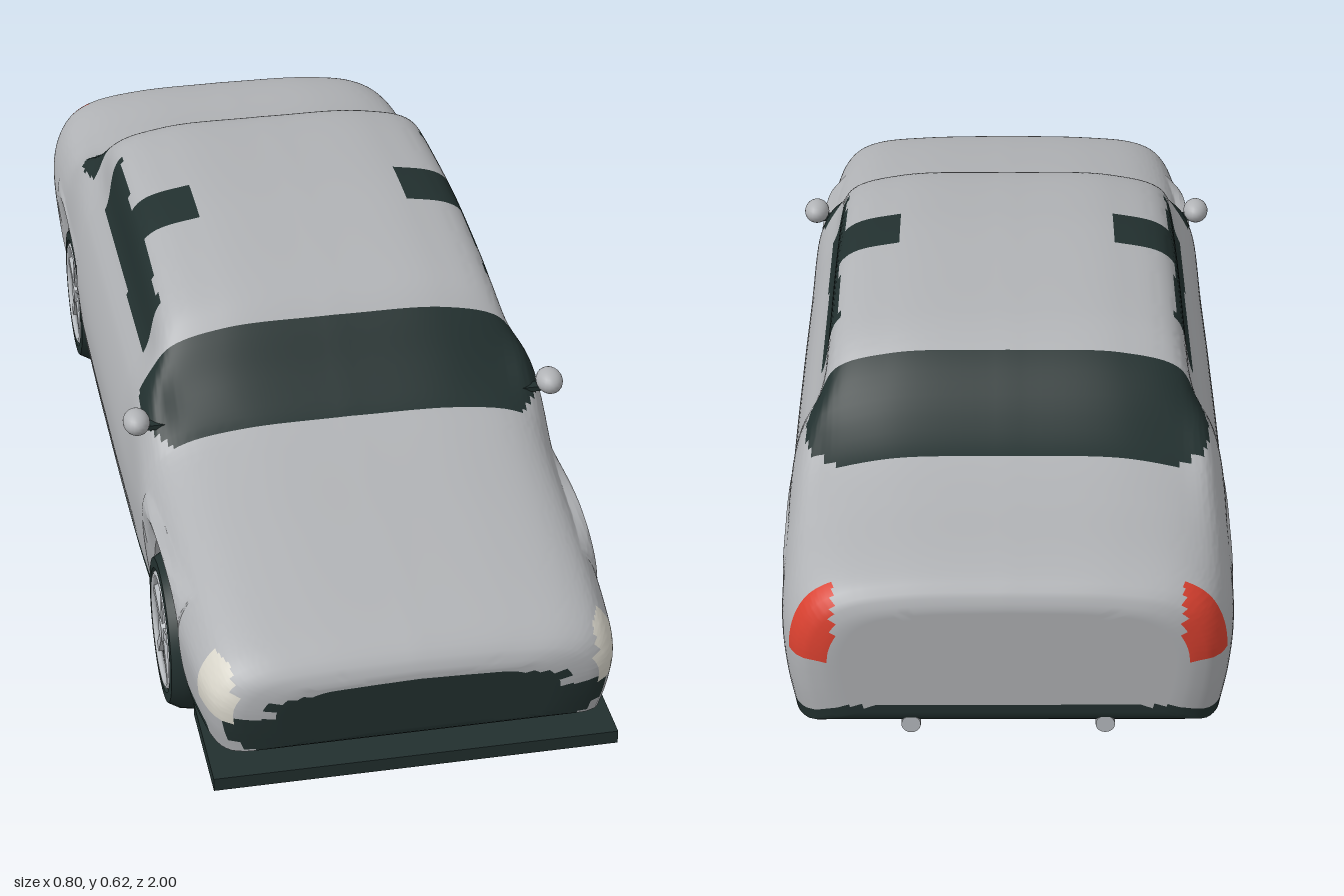
import * as THREE from 'three';
import { toCreasedNormals } from 'three/addons/utils/BufferGeometryUtils.js';

const WHEEL_Z = 0.6, WHEEL_Y = 0.143, ARCH_R = 0.166;
const SIDE = 72, FLOOR = 6;

// Stations along the car: z, roof line, half width, underside height
const STATIONS = [
  [-1, 0.375, 0.295, 0.168], [-0.99, 0.398, 0.33, 0.155], [-0.96, 0.417, 0.355, 0.143],
  [-0.9, 0.43, 0.372, 0.128], [-0.76, 0.44, 0.38, 0.11], [-0.65, 0.46, 0.381, 0.102],
  [-0.57, 0.503, 0.382, 0.1], [-0.5, 0.56, 0.382, 0.098], [-0.45, 0.59, 0.382, 0.096],
  [-0.4, 0.605, 0.383, 0.095], [-0.25, 0.617, 0.384, 0.095], [-0.1, 0.622, 0.384, 0.095],
  [0, 0.618, 0.384, 0.095], [0.15, 0.603, 0.383, 0.095], [0.23, 0.583, 0.382, 0.095],
  [0.28, 0.55, 0.381, 0.095], [0.35, 0.482, 0.379, 0.096], [0.42, 0.43, 0.377, 0.1],
  [0.5, 0.409, 0.375, 0.105], [0.7, 0.386, 0.368, 0.116], [0.85, 0.363, 0.358, 0.132],
  [0.94, 0.34, 0.345, 0.148], [0.98, 0.318, 0.322, 0.158], [0.993, 0.303, 0.29, 0.165],
  [1, 0.287, 0.24, 0.172],
];

// Smooth interpolation of one station column
function along(z, k) {
  const S = STATIONS, n = S.length - 1;
  let i = 0;
  while (i < n - 1 && z > S[i + 1][0]) i++;
  const slope = (j) => {
    const a = S[Math.max(j - 1, 0)], b = S[Math.min(j + 1, n)];
    return (b[k] - a[k]) / (b[0] - a[0]);
  };
  const h = S[i + 1][0] - S[i][0], t = (z - S[i][0]) / h, t2 = t * t, t3 = t2 * t;
  return (2 * t3 - 3 * t2 + 1) * S[i][k] + (t3 - 2 * t2 + t) * h * slope(i)
    + (3 * t2 - 2 * t3) * S[i + 1][k] + (t3 - t2) * h * slope(i + 1);
}

const archOffset = (z) => Math.abs(Math.abs(z) - WHEEL_Z);

// Closed cross-section from the middle of the floor, up the left side and back
function section(z) {
  const top = along(z, 1), w = along(z, 2), base = along(z, 3);
  const cabin = THREE.MathUtils.clamp((top - 0.43) / 0.17, 0, 1);
  const s = Math.min((top - base) / 0.3, 1);
  const mix = (a, b) => a + (b - a) * cabin;
  const y4 = Math.min(top - 0.13 * s, 0.29);
  const curve = new THREE.CatmullRomCurve3([
    [w - 0.018, base], [w - 0.004, (y4 + base) / 2], [w, y4],
    [mix(0.965 * w, 0.362), mix(top - 0.085 * s, 0.395)],
    [mix(0.9 * w, 0.327), mix(top - 0.048 * s, 0.47)],
    [mix(0.78 * w, 0.297), top - mix(0.022 * s, 0.038)],
    [mix(0.5 * w, 0.2), top - mix(0.004, 0.006)], [0, top],
  ].map(([x, y]) => new THREE.Vector3(x, y, 0)), false, 'centripetal');
  // The lower flank is squeezed upward around each wheel arch
  const d = archOffset(z), inArch = d < ARCH_R - 1e-4;
  const bottom = inArch ? WHEEL_Y + Math.sqrt(ARCH_R ** 2 - d * d) : base;
  const half = [];
  for (let i = 0; i <= SIDE; i++) {
    const p = curve.getPoint(i / SIDE);
    if (inArch && p.y < 0.33) p.y = 0.33 - (0.33 - p.y) * (0.33 - bottom) / (0.33 - base);
    half.push([p.x, p.y]);
  }
  const [ex, ey] = half[0], floor = [];
  const inner = Math.min(0.27, ex * 0.9);
  for (let i = 0; i < FLOOR; i++) floor.push([i < FLOOR - 1 ? inner * i / (FLOOR - 2) : (inner + ex) / 2, ey]);
  const left = [...floor, ...half];
  const right = left.slice(0, -1).reverse().map(([x, y]) => [-x, y]);
  return [...left, ...right];
}

// Paint index for a panel: 0 body, 1 dark, 2 red, 3 headlamp
function paint(x, y, z, isFloor) {
  x = Math.abs(x);
  if (isFloor) return archOffset(z) < ARCH_R && x > 0.27 ? 0 : 1;
  if (z > 0.9) {
    if (x > 0.305 && y > 0.222 && y < 0.312) return 3;
    const wedge = x > 0.215 && y > 0.137 + (0.24 - x) * 0.1 && y < 0.162 + Math.max(0, x - 0.27) * 0.5;
    if (wedge) return 0;
    if (y < 0.23 ? x < 0.317 : x < 0.25 && y < 0.28 - 0.35 * x * x) return 1;
  }
  if (z < -0.95 && x > 0.285 && y > 0.275 && y < 0.395) return 2;
  if (y < along(z, 3) + (z < -0.9 ? 0.02 : 0.026)) return 1;
  if (z > 0.275 && z < 0.42 && y > 0.4 + (0.42 - z) * 0.25) return 1;
  if (z > -0.65 && z < -0.48 && y > 0.437 + (z + 0.65) * 0.17) return 1;
  const sill = 0.452 + (0.18 - z) * 0.024, head = Math.min(0.555 + (0.18 - z) * 0.12, 0.574);
  if (z > -0.36 && z < 0.18 && x > 0.25 && y > sill && y < head) return 1;
  if (z > -0.145 && z < -0.02 && x > 0.2 && y > 0.55) return 1;
  return 0;
}

function bodyGeometry() {
  // Rows follow glass edges and wheel arches exactly
  const zs = new Set([-0.65, -0.48, -0.36, -0.145, -0.02, 0.18, 0.275, 0.42, -0.997, -0.993, 0.997, 0.993]);
  for (let i = 0; i <= 160; i++) {
    const z = -1 + i / 80;
    if (archOffset(z) > ARCH_R + 0.002) zs.add(z);
  }
  for (const c of [-WHEEL_Z, WHEEL_Z]) {
    zs.add(c - ARCH_R - 0.0005).add(c + ARCH_R + 0.0005);
    for (let i = 0; i <= 28; i++) zs.add(c - 0.9995 * ARCH_R * Math.cos(Math.PI * i / 28));
  }
  const rows = [...zs].sort((a, b) => a - b).map((z) => section(z).map(([x, y]) => [x, y, z]));
  // Closed nose and tail
  const cap = (row) => Array.from({ length: 14 }, (_, i) => {
    const mid = (along(row[0][2], 1) + along(row[0][2], 3)) / 2, k = i / 14;
    return row.map(([x, y, z]) => [x * k, mid + (y - mid) * k, z]);
  });
  const all = [...cap(rows[0]), ...rows, ...cap(rows[rows.length - 1]).reverse()];
  const n = rows[0].length, lists = [[], [], [], []];
  for (let i = 0; i < all.length - 1; i++) {
    const isCap = i < 14 || i >= all.length - 15;
    for (let j = 0; j < n - 1; j++) {
      const a = i * n + j, b = a + 1, c = b + n, d = a + n;
      const q = [all[i][j], all[i][j + 1], all[i + 1][j + 1], all[i + 1][j]];
      const [x, y, z] = [0, 1, 2].map((k) => (q[0][k] + q[1][k] + q[2][k] + q[3][k]) / 4);
      const isFloor = !isCap && (j < FLOOR || j >= n - 1 - FLOOR);
      lists[paint(x, y, z, isFloor)].push(a, b, c, a, c, d);
    }
  }
  const g = new THREE.BufferGeometry();
  g.setAttribute('position', new THREE.Float32BufferAttribute(all.flat(2), 3));
  g.setIndex(lists.flat());
  let start = 0;
  lists.forEach((l, m) => { g.addGroup(start, l.length, m); start += l.length; });
  return toCreasedNormals(g, 0.75);
}

export function createModel() {
  const mat = (name, color) => Object.assign(new THREE.MeshStandardMaterial({ color }), { name });
  const paintGrey = mat('body grey', 0xb0b2b5), dark = mat('dark glass and trim', 0x22302f);
  const red = mat('tail lamp red', 0xd8402f), cream = mat('headlamp cream', 0xd6d3c8);
  const silver = mat('wheel silver', 0xb9bdc1);
  const car = new THREE.Group();
  car.name = 'car';
  const add = (parent, name, geo, material, x = 0, y = 0, z = 0) => {
    const m = new THREE.Mesh(geo, material);
    m.name = name;
    m.position.set(x, y, z);
    parent.add(m);
    return m;
  };

  add(car, 'body', bodyGeometry(), [paintGrey, dark, red, cream]);
  add(car, 'frontSplitter', new THREE.BoxGeometry(0.69, 0.024, 0.21), dark, 0, 0.109, 0.895);

  // Wheels, built with the axle along x and the outer face on +x
  const tyre = toCreasedNormals(new THREE.LatheGeometry([
    [0, -0.035], [0.1, -0.04], [0.11, -0.047], [0.128, -0.046], [0.139, -0.026], [0.143, 0],
    [0.139, 0.026], [0.128, 0.046], [0.11, 0.047], [0.1, 0.036], [0, 0.034],
  ].map(([r, h]) => new THREE.Vector2(r, h)), 40).rotateZ(-Math.PI / 2), 0.6);
  const ring = new THREE.TorusGeometry(0.099, 0.006, 8, 40).rotateY(Math.PI / 2);
  const hub = new THREE.CylinderGeometry(0.02, 0.024, 0.014, 20).rotateZ(-Math.PI / 2);
  const spoke = new THREE.BoxGeometry(0.01, 0.085, 0.017).translate(0, 0.055, 0);
  for (const side of [1, -1]) for (const end of [1, -1]) {
    const wheel = new THREE.Group();
    wheel.name = (end > 0 ? 'front' : 'rear') + (side > 0 ? 'Left' : 'Right') + 'Wheel';
    wheel.position.set(side * 0.327, WHEEL_Y, end * WHEEL_Z);
    wheel.rotation.y = side > 0 ? 0 : Math.PI;
    add(wheel, 'tyre', tyre, dark);
    add(wheel, 'rim', ring, silver, 0.042);
    add(wheel, 'hub', hub, silver, 0.04);
    for (let i = 0; i < 5; i++) add(wheel, 'spoke', spoke, silver, 0.039).rotation.x = i * Math.PI * 0.4;
    car.add(wheel);
  }

  // Mirrors and exhaust tips on both sides
  for (const side of [1, -1]) {
    add(car, 'mirror', new THREE.SphereGeometry(1, 20, 14).scale(0.024, 0.022, 0.032), paintGrey, side * 0.375, 0.433, 0.373);
    add(car, 'mirrorStalk', new THREE.BoxGeometry(0.06, 0.009, 0.02), dark, side * 0.34, 0.421, 0.37);
    add(car, 'exhaustTip', new THREE.CylinderGeometry(0.016, 0.016, 0.09, 18).rotateX(Math.PI / 2), silver, side * 0.16, 0.15, -0.952);
  }
  return car;
}
